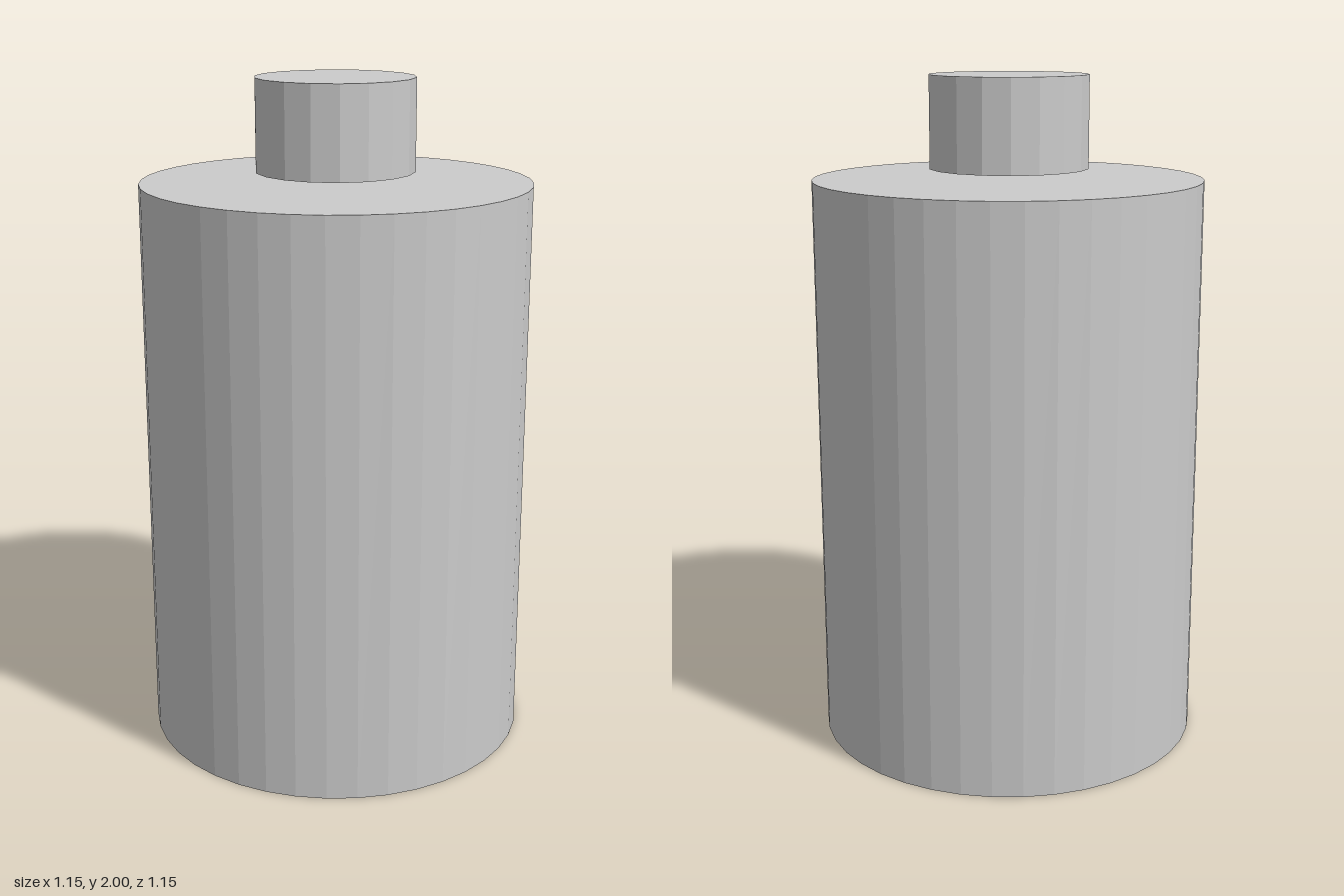
import * as THREE from 'three';

export function createModel() {
  const model = new THREE.Group();
  const material = new THREE.MeshStandardMaterial({ color: 0xcccccc, flatShading: true });

  // Closed upright cylinder between two heights, with a corner on the x axis
  function addCylinder(name, radius, bottom, top, sides) {
    const geometry = new THREE.CylinderGeometry(radius, radius, top - bottom, sides, 1, false, Math.PI / 2);
    const mesh = new THREE.Mesh(geometry, material);
    mesh.name = name;
    mesh.position.y = (bottom + top) / 2;
    model.add(mesh);
    return mesh;
  }

  // Wide main body
  addCylinder('body', 0.575, 0, 1.7, 40);

  // Small cap floating just above the body
  const cap = addCylinder('cap', 0.235, 1.73, 2, 18);
  cap.position.x = -0.002;
  cap.position.z = -0.002;

  return model;
}
